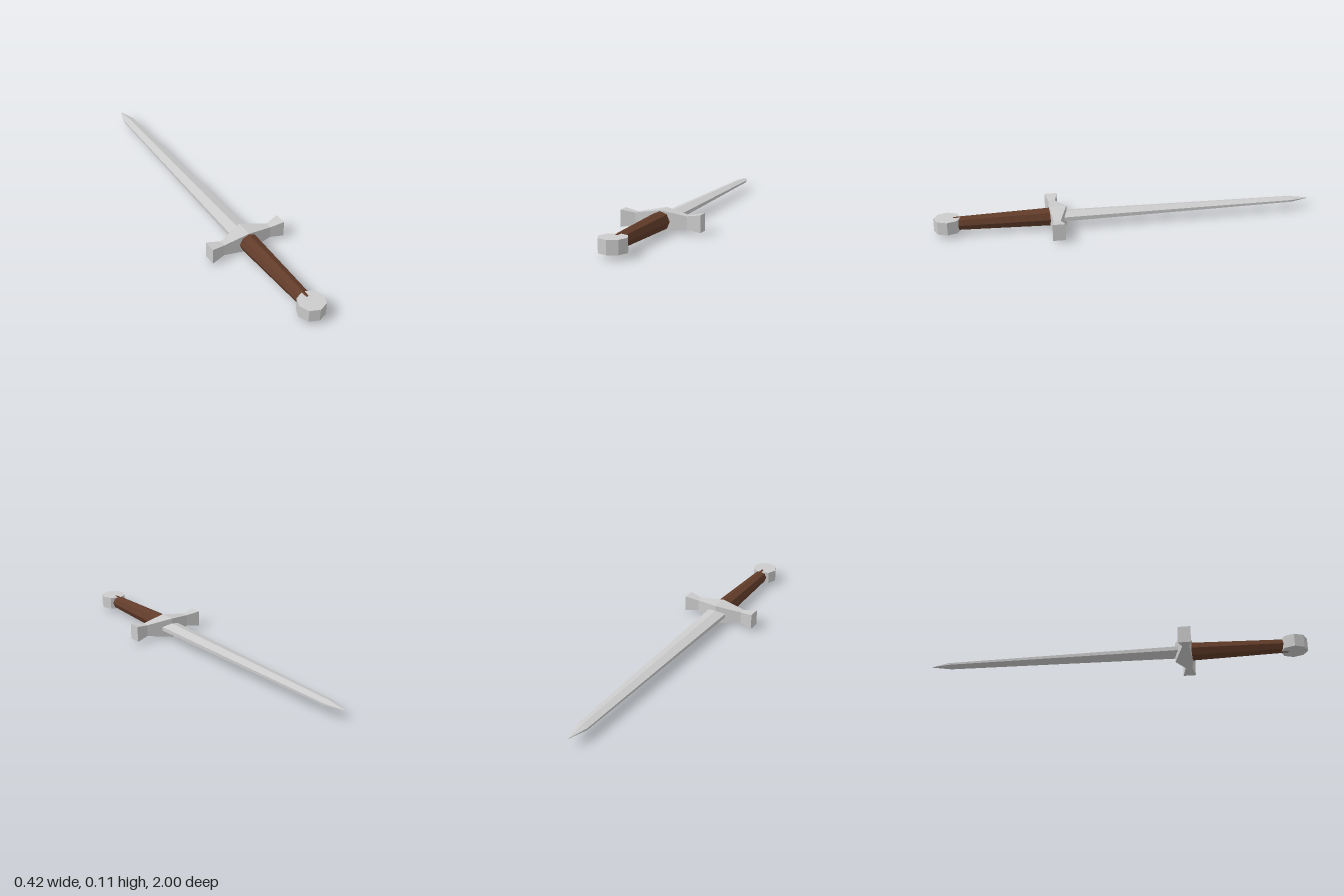
import * as THREE from 'three';

const Y = 0.056; // height of the sword's long axis
const metal = new THREE.MeshStandardMaterial({ color: 0xcccccc, flatShading: true });
const leather = new THREE.MeshStandardMaterial({ color: 0x623c2a, flatShading: true });

// Skin a list of equal-length rings (counter-clockwise seen from the far end) and cap both ends
function loft(rings) {
  const n = rings[0].length;
  const index = [];
  for (let i = 0; i < rings.length - 1; i++) {
    for (let j = 0; j < n; j++) {
      const k = (j + 1) % n;
      const a = i * n + j, b = i * n + k;
      index.push(a, b, b + n, a, b + n, a + n);
    }
  }
  const last = (rings.length - 1) * n;
  for (let j = 1; j < n - 1; j++) {
    index.push(0, j + 1, j, last, last + j, last + j + 1);
  }
  const g = new THREE.BufferGeometry();
  g.setAttribute('position', new THREE.Float32BufferAttribute(rings.flat(2), 3));
  g.setIndex(index);
  const flat = g.toNonIndexed();
  flat.computeVertexNormals();
  return flat;
}

export function createModel() {
  const sword = new THREE.Group();
  sword.name = 'sword';
  const add = (name, geometry, material) => {
    const mesh = new THREE.Mesh(geometry, material);
    mesh.name = name;
    mesh.position.y = Y;
    sword.add(mesh);
    return mesh;
  };

  // Blade: ridged six-sided section [z, half width, ridge height, edge half thickness]
  const blade = [
    [-1, 0.001, 0.001, 0.0005],
    [-0.9, 0.03, 0.014, 0.005],
    [0.38, 0.053, 0.026, 0.011],
  ].map(([z, w, h, e]) => [
    [w, -e, z], [w, e, z], [0, h, z], [-w, e, z], [-w, -e, z], [0, -h, z],
  ]);
  add('blade', loft(blade), metal);

  // Crossguard: rectangular sections along x [x, half height, back z, front z]
  const half = [
    [0, 0.054, 0.321, 0.412],
    [0.135, 0.0315, 0.366, 0.402],
    [0.209, 0.0435, 0.349, 0.415],
  ];
  const mirrored = half.slice(1).reverse().map(([x, ...rest]) => [-x, ...rest]);
  const guard = [...mirrored, ...half].map(([x, h, back, front]) => [
    [x, -h, back], [x, h, back], [x, h, front], [x, -h, front],
  ]);
  add('crossguard', loft(guard), metal);

  // Grip: tapered octagonal handle
  const grip = new THREE.CylinderGeometry(0.036, 0.05, 0.51, 8);
  grip.rotateX(Math.PI / 2);
  add('grip', grip, leather).position.z = 0.645;

  // Pommel: octagonal disc lying flat
  const pommel = new THREE.CylinderGeometry(0.069, 0.069, 0.067, 8);
  add('pommel', pommel, metal).position.z = 0.931;

  return sword;
}
